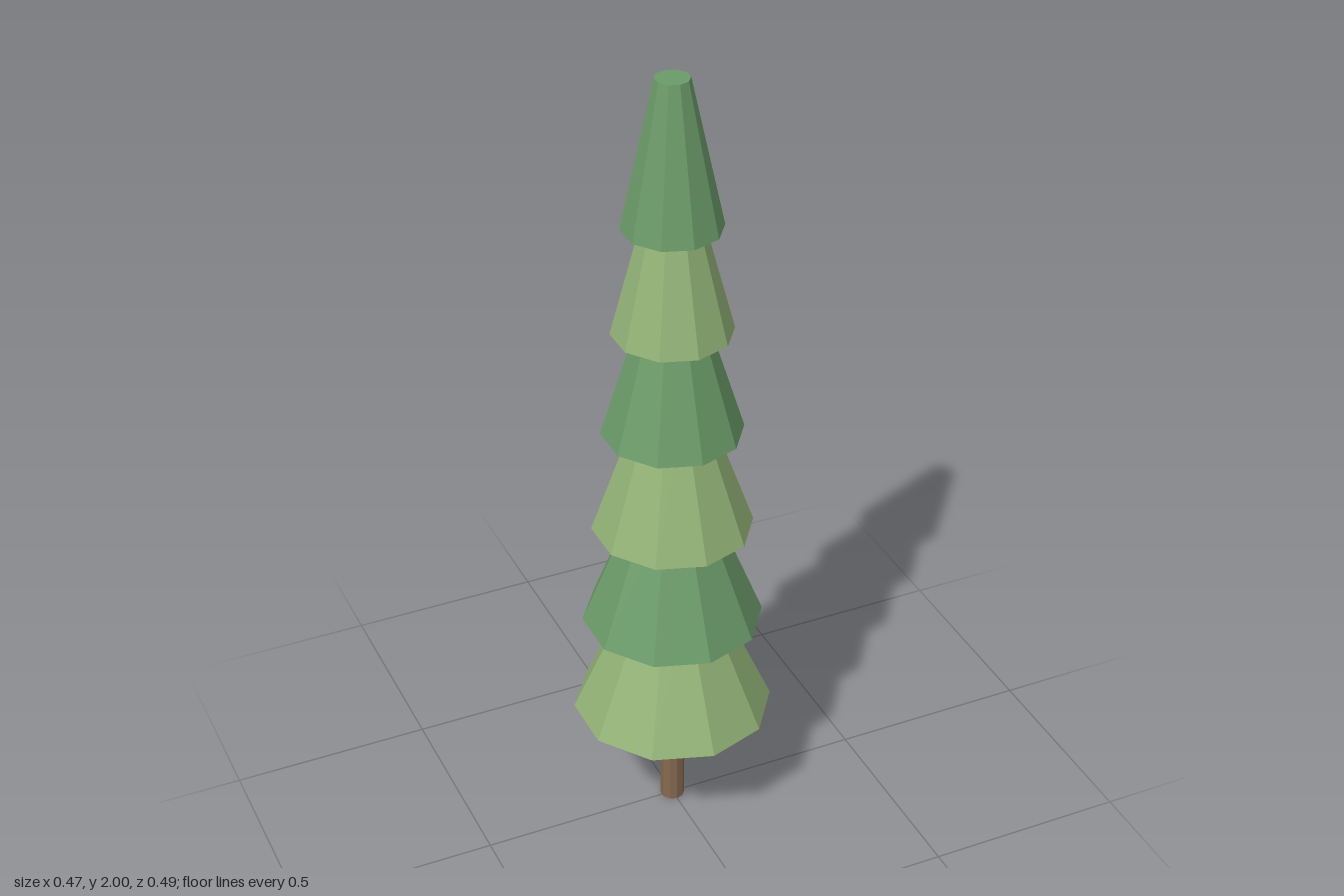
import * as THREE from 'three';

const SIDES = 10;

function frustum(name, topRadius, bottomRadius, bottomY, height, material) {
  const geometry = new THREE.CylinderGeometry(topRadius, bottomRadius, height, SIDES);
  geometry.translate(0, bottomY + height / 2, 0);
  const mesh = new THREE.Mesh(geometry, material);
  mesh.name = name;
  return mesh;
}

export function createModel() {
  const tree = new THREE.Group();
  tree.name = 'coniferTree';

  const paint = (color) => new THREE.MeshStandardMaterial({ color, flatShading: true });
  const bark = paint(0x86694f);
  const lightGreen = paint(0x93b377);
  const darkGreen = paint(0x6b9b69);

  // Trunk, ending inside the lowest tier
  tree.add(frustum('trunk', 0.03, 0.03, 0, 0.36, bark));

  // Six overlapping tiers of foliage, shrinking upwards in alternating greens
  const foliage = new THREE.Group();
  foliage.name = 'foliage';
  const tierHeight = 0.362;
  for (let i = 0; i < 6; i++) {
    const radius = 0.246 - i * 0.0255;
    const y = 0.304 + i * 0.2668;
    foliage.add(frustum(`foliageTier${i + 1}`, radius * 0.345, radius, y, tierHeight, i % 2 ? darkGreen : lightGreen));
  }
  tree.add(foliage);

  return tree;
}
